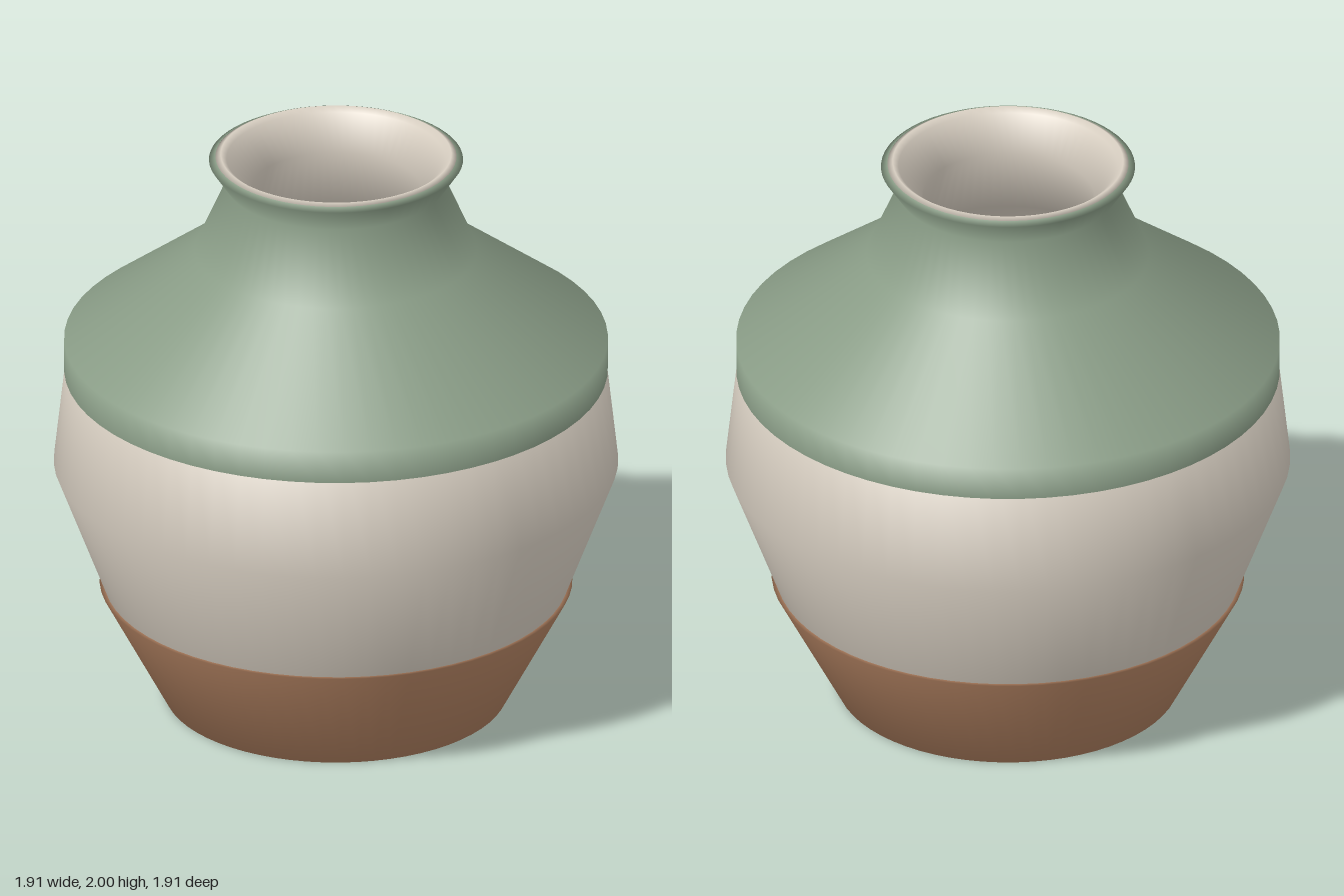
import * as THREE from 'three';

const SEGMENTS = 64;

export function createModel() {
  const vase = new THREE.Group();
  vase.name = 'vase';

  const material = (name, color) =>
    new THREE.MeshStandardMaterial({ name, color, side: THREE.DoubleSide });
  const cream = material('cream clay', 0xd8cfc2);
  const green = material('sage glaze', 0x8a9d87);
  const terracotta = material('terracotta', 0xb58463);

  // Revolve a [radius, height] profile around the y axis
  const turned = (name, mat, profile) => {
    const points = profile.map(([r, y]) => new THREE.Vector2(r, y));
    const mesh = new THREE.Mesh(new THREE.LatheGeometry(points, SEGMENTS), mat);
    mesh.name = name;
    vase.add(mesh);
  };

  // Vessel wall: up the outside, over the rim and down into the cavity
  turned('body', cream, [
    [0.55, 0.02], [0.78, 0.40], [0.955, 0.86], [0.905, 1.31],
    [0.46, 1.63], [0.35, 1.89], [0.41, 1.988], [0.39, 2.0],
    [0.37, 1.985], [0.29, 1.87], [0.38, 1.62], [0.82, 1.28],
    [0.87, 0.86], [0.70, 0.42], [0.48, 0.1], [0, 0.08],
  ]);

  // Glaze covering shoulder, neck and the underside of the rim
  turned('shoulderGlaze', green, [
    [0.92, 1.2], [0.92, 1.315], [0.478, 1.645],
    [0.37, 1.89], [0.43, 1.98], [0.408, 1.992],
  ]);

  // Flared foot with a flat base and a narrow ledge on top
  turned('foot', terracotta, [
    [0, 0], [0.58, 0], [0.8, 0.413], [0.775, 0.413],
  ]);

  return vase;
}
